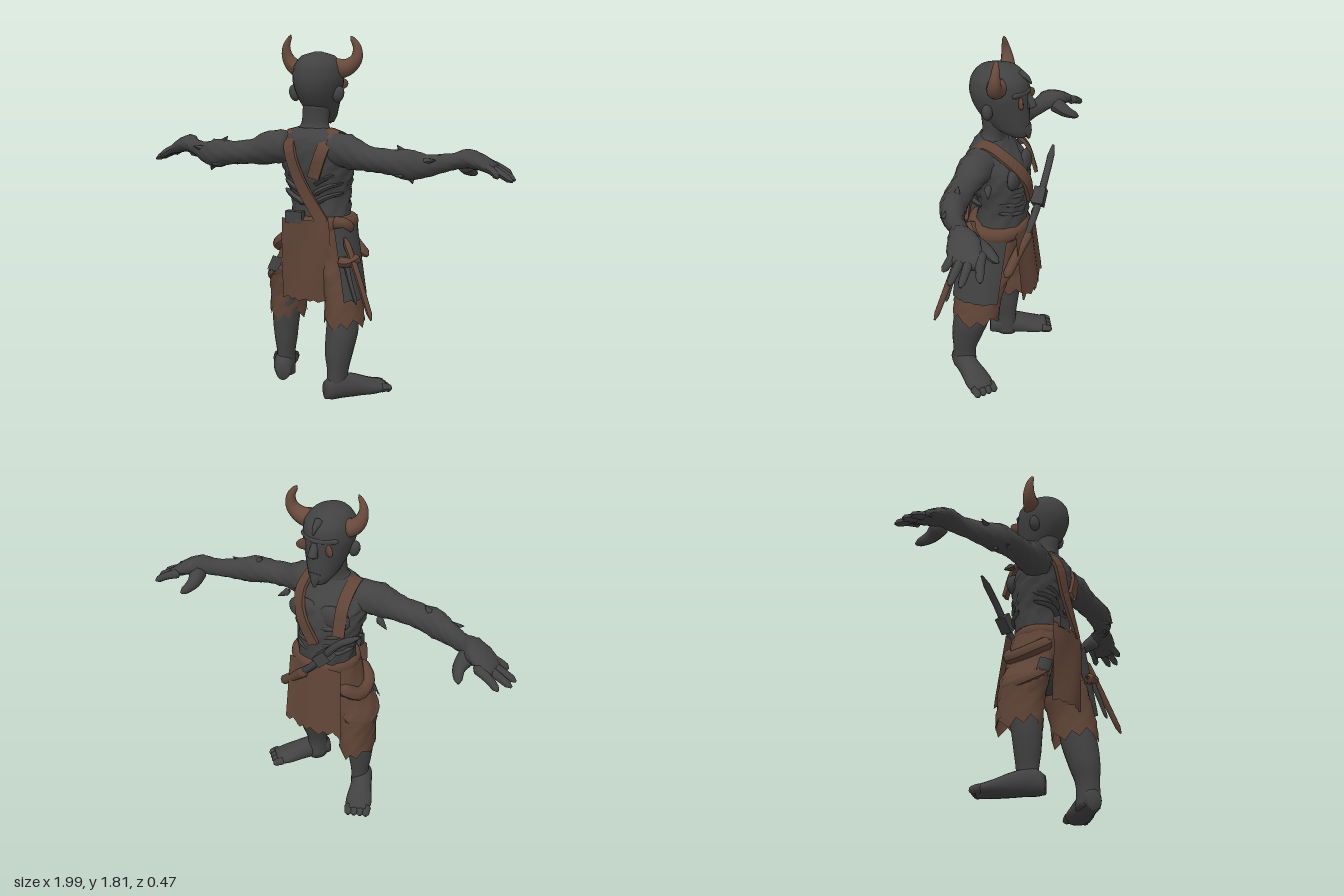
import * as THREE from 'three';

const mat = (name, color) => Object.assign(new THREE.MeshStandardMaterial({ color, side: THREE.DoubleSide }), { name });
const V = (p) => new THREE.Vector3(...p);

export function createModel() {
  const skin = mat('charcoal skin', 0x424242);
  const cloth = mat('brown cloth', 0x604437);
  const horn = mat('horn brown', 0x684a3c);
  const root = new THREE.Group();
  const add = (name, geo, m, parent = root) => {
    const mesh = new THREE.Mesh(geo, m);
    mesh.name = name;
    parent.add(mesh);
    return mesh;
  };

  // Smooth body through oval sections [x, y, z, a, b], listed in rising order along the axis
  function loft(sections, { axis = 'y', n = 20, rough = 0, jag = 0, caps = true } = {}) {
    const centre = new THREE.CatmullRomCurve3(sections.map((s) => V(s.slice(0, 3))));
    const radii = new THREE.CatmullRomCurve3(sections.map((s) => new THREE.Vector3(s[3], s[4], 0)));
    const rows = (sections.length - 1) * 4, pos = [], idx = [];
    for (let r = 0; r <= rows; r++) {
      const c = centre.getPoint(r / rows), q = radii.getPoint(r / rows);
      for (let i = 0; i < n; i++) {
        const t = (i / n) * Math.PI * 2;
        const k = 1 + rough * (Math.sin(i * 2.3 + r * 1.7) + Math.sin(i * 1.1 - r * 2.9));
        const u = q.x * k * Math.cos(t), v = q.y * k * Math.sin(t);
        const drop = r === 0 ? jag * (((i * 7) % 5) / 4 - 0.6) : 0;
        if (axis === 'y') pos.push(c.x + u, c.y + drop, c.z + v);
        else if (axis === 'x') pos.push(c.x, c.y + u, c.z - v);
        else pos.push(c.x + u, c.y - v, c.z);
      }
    }
    for (let r = 0; r < rows; r++) for (let i = 0; i < n; i++) {
      const a = r * n + i, b = r * n + ((i + 1) % n);
      idx.push(a, a + n, b, b, a + n, b + n);
    }
    if (caps) {
      const e = pos.length / 3, last = rows * n;
      pos.push(...centre.getPoint(0).toArray(), ...centre.getPoint(1).toArray());
      for (let i = 0; i < n; i++) {
        const j = (i + 1) % n;
        idx.push(e, i, j, e + 1, last + j, last + i);
      }
    }
    return build(pos, idx);
  }
  function build(pos, idx) {
    const g = new THREE.BufferGeometry();
    g.setAttribute('position', new THREE.Float32BufferAttribute(pos, 3));
    g.setIndex(idx);
    g.computeVertexNormals();
    return g;
  }

  // Tapered curved tube from radius r0 to r1, with narrowed ends
  function taper(points, r0, r1, n = 10, steps = 12) {
    const curve = new THREE.CatmullRomCurve3(points.map(V));
    const g = new THREE.TubeGeometry(curve, steps, 1, n, false);
    const p = g.attributes.position, v = new THREE.Vector3();
    for (let i = 0; i < p.count; i++) {
      const t = Math.floor(i / (n + 1)) / steps, c = curve.getPointAt(t);
      const end = t === 0 || t === 1 ? 0.35 : 1;
      v.fromBufferAttribute(p, i).sub(c).multiplyScalar((r0 + (r1 - r0) * t) * end).add(c);
      p.setXYZ(i, v.x, v.y, v.z);
    }
    g.computeVertexNormals();
    return g;
  }

  // Flat strap with thickness, lying on the torso along a path
  function strap(name, points, w = 0.03, thick = 0.018) {
    const curve = new THREE.CatmullRomCurve3(points.map(V)), pos = [], idx = [], steps = 24;
    for (let s = 0; s <= steps; s++) {
      const c = curve.getPoint(s / steps), t = curve.getTangent(s / steps);
      const out = new THREE.Vector3((c.x - 0.02) * 0.4, Math.max(0, c.y - 1.22) * 1.5, c.z - 0.02).normalize();
      const side = t.clone().cross(out).normalize();
      out.crossVectors(side, t).normalize();
      for (const [a, b] of [[-1, 0], [1, 0], [1, 1], [-1, 1]])
        pos.push(...c.clone().addScaledVector(side, a * w).addScaledVector(out, b * thick).toArray());
      if (s < steps) for (let i = 0; i < 4; i++) {
        const a = s * 4 + i, b = s * 4 + ((i + 1) % 4);
        idx.push(a, b, a + 4, b, b + 4, a + 4);
      }
    }
    add(name, build(pos, idx).toNonIndexed(), cloth).geometry.computeVertexNormals();
  }

  // Hanging cloth: f(u, v) gives a point, with a ragged lower edge
  function panel(name, m, f, ragged) {
    const g = new THREE.PlaneGeometry(1, 1, 14, 10), p = g.attributes.position;
    for (let i = 0; i < p.count; i++) {
      const u = p.getX(i) + 0.5, v = 0.5 - p.getY(i), q = f(u, v);
      if (v > 0.99) q[1] += ragged * ((((i % 15) * 7) % 5) / 4 - 0.5);
      p.setXYZ(i, ...q);
    }
    g.computeVertexNormals();
    add(name, g, m);
  }

  // Torso and neck
  add('torso', loft([[0.04, 0.84, 0, 0.15, 0.13], [0.025, 1, -0.015, 0.155, 0.125], [0.02, 1.12, 0, 0.18, 0.14],
    [0.02, 1.22, 0.02, 0.195, 0.135], [0.015, 1.31, 0.05, 0.165, 0.095], [0.01, 1.36, 0.05, 0.08, 0.06]],
  { n: 28, rough: 0.03 }), skin);
  add('neck', loft([[0.01, 1.27, 0.055, 0.15, 0.09], [0.012, 1.33, 0.05, 0.105, 0.072], [0.015, 1.38, 0.035, 0.07, 0.058], [0.02, 1.48, 0.02, 0.07, 0.08]]), skin);

  // Head, facing -z
  const head = new THREE.Group();
  head.name = 'head';
  root.add(head);
  add('skull', loft([[0.02, 1.375, -0.09, 0.04, 0.045], [0.02, 1.41, -0.055, 0.066, 0.09], [0.02, 1.47, -0.022, 0.09, 0.122],
    [0.02, 1.54, 0, 0.113, 0.142], [0.02, 1.6, 0.007, 0.125, 0.147], [0.02, 1.66, 0.007, 0.118, 0.138],
    [0.02, 1.71, 0.01, 0.08, 0.095], [0.02, 1.73, 0.01, 0.015, 0.02]], { n: 24 }), skin, head);
  add('nose', taper([[0.02, 1.6, -0.122], [0.02, 1.555, -0.146], [0.02, 1.525, -0.156]], 0.016, 0.026), skin, head);
  add('brow', taper([[-0.08, 1.61, -0.085], [0.02, 1.61, -0.13], [0.12, 1.61, -0.085]], 0.015, 0.015), skin, head);
  add('beard', taper([[0.02, 1.43, -0.115], [0.02, 1.4, -0.132], [0.02, 1.36, -0.142]], 0.04, 0.005), skin, head);
  add('forelock', taper([[0.02, 1.69, -0.085], [0.02, 1.675, -0.125], [0.02, 1.645, -0.152]], 0.026, 0.004), skin, head);
  for (const s of [-1, 1]) {
    const ear = add('ear', new THREE.SphereGeometry(1, 12, 8), skin, head);
    ear.scale.set(0.028, 0.042, 0.027);
    ear.position.set(0.02 + s * 0.12, 1.525, 0.03);
    ear.rotation.z = -s * 0.25;
    const eye = add('eye', new THREE.SphereGeometry(1, 14, 10), cloth, head);
    eye.scale.set(0.042, 0.03, 0.012);
    eye.position.set(0.02 + s * 0.064, 1.568, -0.117);
    eye.rotation.y = s * 0.55;
  }
  add('leftHorn', taper([[0.1, 1.645, -0.01], [0.165, 1.655, -0.02], [0.207, 1.695, -0.03], [0.21, 1.75, -0.035], [0.178, 1.805, -0.03]], 0.054, 0.01, 12, 16), horn, head);
  add('rightHorn', taper([[-0.07, 1.64, 0], [-0.11, 1.655, 0.01], [-0.14, 1.695, 0.02], [-0.145, 1.75, 0.03], [-0.118, 1.81, 0.03]], 0.05, 0.007, 12, 16), horn, head);

  // Arms and hands; the right one is mirrored and carried further back
  for (const s of [1, -1]) {
    const arm = new THREE.Group();
    arm.name = s > 0 ? 'leftArm' : 'rightArm';
    root.add(arm);
    const at = ([x, y, z, ...rest]) => [s * x, y, z + (s < 0 ? 0.05 * x : 0), ...rest];
    const sections = [[0.1, 1.26, 0.05, 0.08, 0.085], [0.22, 1.25, 0.07, 0.085, 0.08], [0.32, 1.225, 0.08, 0.062, 0.066],
      [0.42, 1.215, 0.08, 0.06, 0.065], [0.52, 1.205, 0.068, 0.074, 0.063], [0.6, 1.2, 0.035, 0.056, 0.056],
      [0.7, 1.215, -0.035, 0.042, 0.05], [0.77, 1.23, -0.08, 0.046, 0.072], [0.84, 1.21, -0.105, 0.038, 0.08], [0.9, 1.178, -0.125, 0.022, 0.074]].map(at);
    add('arm', loft(s > 0 ? sections : sections.reverse(), { axis: 'x', rough: 0.03 }), skin, arm);
    const fingers = [[0.07, 0.93, 1.15, -0.04], [0.11, 0.99, 1.13, -0.09], [0.14, 0.99, 1.13, -0.14], [0.175, 0.955, 1.145, -0.215]];
    for (const [z0, x, y, z] of fingers)
      add('finger', taper([[0.82, 1.21, -z0], [0.9, 1.178, (z - z0) / 2], [x, y, z]].map(at), 0.026, 0.016, 8, 8), skin, arm);
    add('thumb', taper([[0.76, 1.21, -0.09], [0.745, 1.17, -0.165], [0.775, 1.135, -0.235]].map(at), 0.05, 0.016, 10, 8), skin, arm);
    // Torn flesh around the shoulder and elbow
    for (const [x, y, z, dx, dy, dz] of [[0.5, 1.25, 0.06, -0.04, 0.045, 0], [0.53, 1.16, 0.07, 0.02, -0.045, 0.01],
      [0.46, 1.17, 0.09, 0.06, -0.02, 0.04], [0.58, 1.22, 0.06, 0.08, 0.015, 0.01], [0.25, 1.2, -0.01, 0.06, -0.04, -0.02]])
      add('tatter', taper([[x, y, z], [x + dx, y + dy, z + dz]].map(at), 0.026, 0.003, 6, 4), skin, arm);
  }

  // Chest muscles and ribs
  for (const s of [-1, 1]) {
    const pec = add('chestMuscle', new THREE.SphereGeometry(1, 14, 10), skin);
    pec.scale.set(0.09, 0.065, 0.03);
    pec.position.set(0.02 + s * 0.085, 1.19, -0.1);
    for (let i = 0; i < 4; i++) {
      const y = 0.98 + i * 0.05;
      add('rib', taper([[0.02 + s * 0.03, y, -0.13], [0.02 + s * 0.1, y + 0.01, -0.113], [0.02 + s * 0.16, y + 0.03, -0.04]], 0.014, 0.01, 6, 8), skin);
      add('backMuscle', taper([[0.02 + s * 0.02, y, 0.115], [0.02 + s * 0.09, y + 0.04, 0.115], [0.02 + s * 0.16, y + 0.06, 0.05]], 0.018, 0.01, 6, 8), skin);
    }
  }

  // Legs and feet
  add('leftLeg', loft([[0.19, 0.03, 0.15, 0.05, 0.065], [0.195, 0.14, 0.15, 0.052, 0.062], [0.195, 0.24, 0.135, 0.07, 0.08],
    [0.2, 0.36, 0.105, 0.08, 0.095], [0.19, 0.46, 0.085, 0.072, 0.095], [0.13, 0.75, 0.03, 0.07, 0.1]]), skin);
  add('rightLeg', loft([[-0.155, 0.04, 0.03, 0.045, 0.06], [-0.155, 0.14, 0.03, 0.044, 0.058], [-0.155, 0.24, 0.03, 0.058, 0.068],
    [-0.155, 0.36, 0.025, 0.07, 0.08], [-0.14, 0.5, 0.01, 0.075, 0.095], [-0.06, 0.75, 0, 0.09, 0.11]]), skin);
  for (const [name, x, y, z, turn] of [['leftFoot', 0.19, 0.005, 0.17, -0.75], ['rightFoot', -0.155, 0.025, 0.065, 0.4]]) {
    const foot = new THREE.Group();
    foot.name = name;
    foot.position.set(x, y, z);
    foot.rotation.y = turn;
    root.add(foot);
    add('sole', loft([[0, 0.034, -0.265, 0.06, 0.03], [0, 0.04, -0.2, 0.07, 0.04], [0, 0.058, -0.1, 0.058, 0.06],
      [0, 0.066, 0, 0.052, 0.068], [0, 0.05, 0.055, 0.035, 0.046]], { axis: 'z' }), skin, foot);
    for (let i = 0; i < 4; i++) {
      const tx = -0.048 + i * 0.032;
      add('toe', taper([[tx, 0.036, -0.23], [tx, 0.034, -0.265], [tx, 0.022, -0.292]], 0.025, 0.018, 8, 6), skin, foot);
    }
  }

  // Ragged shorts with sagging folds
  add('leftShortsLeg', loft([[0.2, 0.4, 0.08, 0.1, 0.125], [0.19, 0.5, 0.07, 0.09, 0.125], [0.165, 0.6, 0.05, 0.085, 0.13],
    [0.14, 0.7, 0.03, 0.085, 0.13], [0.115, 0.88, 0.01, 0.085, 0.13]], { jag: 0.06, rough: 0.015, caps: false }), cloth);
  add('rightShortsLeg', loft([[-0.16, 0.38, -0.015, 0.088, 0.125], [-0.155, 0.5, -0.01, 0.09, 0.125], [-0.145, 0.6, 0, 0.1, 0.13],
    [-0.1, 0.7, 0, 0.09, 0.13], [-0.05, 0.88, 0, 0.085, 0.13]], { jag: 0.06, rough: 0.025, caps: false }), cloth);
  add('shortsSeat', loft([[0.03, 0.68, 0.01, 0.1, 0.1], [0.03, 0.73, 0.01, 0.17, 0.13], [0.04, 0.8, 0.005, 0.172, 0.14], [0.04, 0.92, 0, 0.165, 0.145]]), cloth);
  add('crotch', loft([[0.03, 0.61, 0.01, 0.05, 0.06], [0.03, 0.66, 0.01, 0.1, 0.1], [0.03, 0.74, 0.01, 0.1, 0.1]]), skin);
  for (const [y, x] of [[0.755, -0.18], [0.59, -0.212]])
    add('shortsFold', taper([[x + 0.09, y + 0.06, 0.12], [x + 0.01, y, 0.07], [x, y - 0.02, -0.04], [x + 0.08, y + 0.04, -0.12]], 0.036, 0.036), cloth);
  panel('thighPatch', skin, (u, v) => {
    const a = 0.95 + u * 0.7;
    return [-0.118 - 0.035 * v + 0.112 * Math.cos(Math.PI - a), 0.7 - v * 0.075, 0.146 * Math.sin(a)];
  }, 0.02);

  // Belt, pouch and straps
  const belt = add('belt', new THREE.TorusGeometry(1, 0.16, 10, 36), cloth);
  belt.rotation.x = Math.PI / 2;
  belt.scale.set(0.16, 0.138, 0.23);
  belt.position.set(0.045, 0.885, 0.005);
  add('beltKnot', taper([[0.15, 0.9, 0.12], [0.2, 0.89, 0.09], [0.215, 0.86, 0.05]], 0.033, 0.03), cloth);
  add('buckle', new THREE.BoxGeometry(0.09, 0.06, 0.04), skin).position.set(-0.04, 0.92, 0.155);
  strap('longStrap', [[-0.11, 1.12, -0.135], [-0.105, 1.27, -0.08], [-0.095, 1.335, 0.05], [-0.07, 1.26, 0.14], [-0.01, 1.1, 0.15], [0.11, 0.9, 0.145]]);
  strap('shortStrap', [[0.02, 1.04, -0.145], [0.09, 1.18, -0.14], [0.135, 1.28, -0.07], [0.125, 1.335, 0.05], [0.1, 1.25, 0.14], [0.06, 1.12, 0.15]]);

  // Hanging cloth
  panel('backApron', cloth, (u, v) => [-0.115 + u * (0.26 + 0.03 * v), 0.91 - v * 0.41, 0.15 + 0.025 * Math.sin(u * Math.PI) + 0.005 * Math.sin(u * 7 + v * 5)], 0.015);
  panel('frontApron', cloth, (u, v) => [-0.12 - 0.03 * v + u * (0.3 + 0.04 * v), 0.9 - v * 0.38, -0.13 - 0.045 * v - 0.02 * Math.sin(u * Math.PI) + 0.007 * Math.sin(u * 9)], 0.035);
  panel('sidePanel', skin, (u, v) => {
    const a = 1.05 - u * 1.95;
    return [0.125 + 0.068 * v + 0.102 * Math.cos(a), 0.88 - v * 0.36, 0.03 + 0.03 * v + 0.15 * Math.sin(a)];
  }, 0.01);

  // Sheathed blade at the hip, and a long weapon across the chest
  add('scabbard', taper([[0.22, 0.83, 0.13], [0.29, 0.7, 0.165], [0.405, 0.46, 0.23]], 0.02, 0.014, 8), cloth);
  add('hipBlade', taper([[0.23, 0.74, 0.15], [0.27, 0.63, 0.18], [0.315, 0.52, 0.2]], 0.016, 0.01, 8), skin);
  add('hipGuard', taper([[0.2, 0.715, 0.16], [0.25, 0.715, 0.16], [0.305, 0.745, 0.14]], 0.028, 0.024, 8), cloth);
  add('chestWeapon', taper([[0.24, 0.7, -0.1], [0.02, 0.915, -0.17], [-0.145, 1.12, -0.195], [-0.26, 1.2, -0.19]], 0.02, 0.018, 8), skin);
  add('weaponSheath', taper([[0.25, 0.69, -0.1], [0.15, 0.78, -0.13], [0.06, 0.865, -0.165]], 0.026, 0.028, 8), cloth);
  const guard = add('weaponGuard', new THREE.BoxGeometry(0.06, 0.09, 0.06), skin);
  guard.position.set(-0.055, 1.005, -0.18);
  guard.rotation.z = 0.8;
  return root;
}
